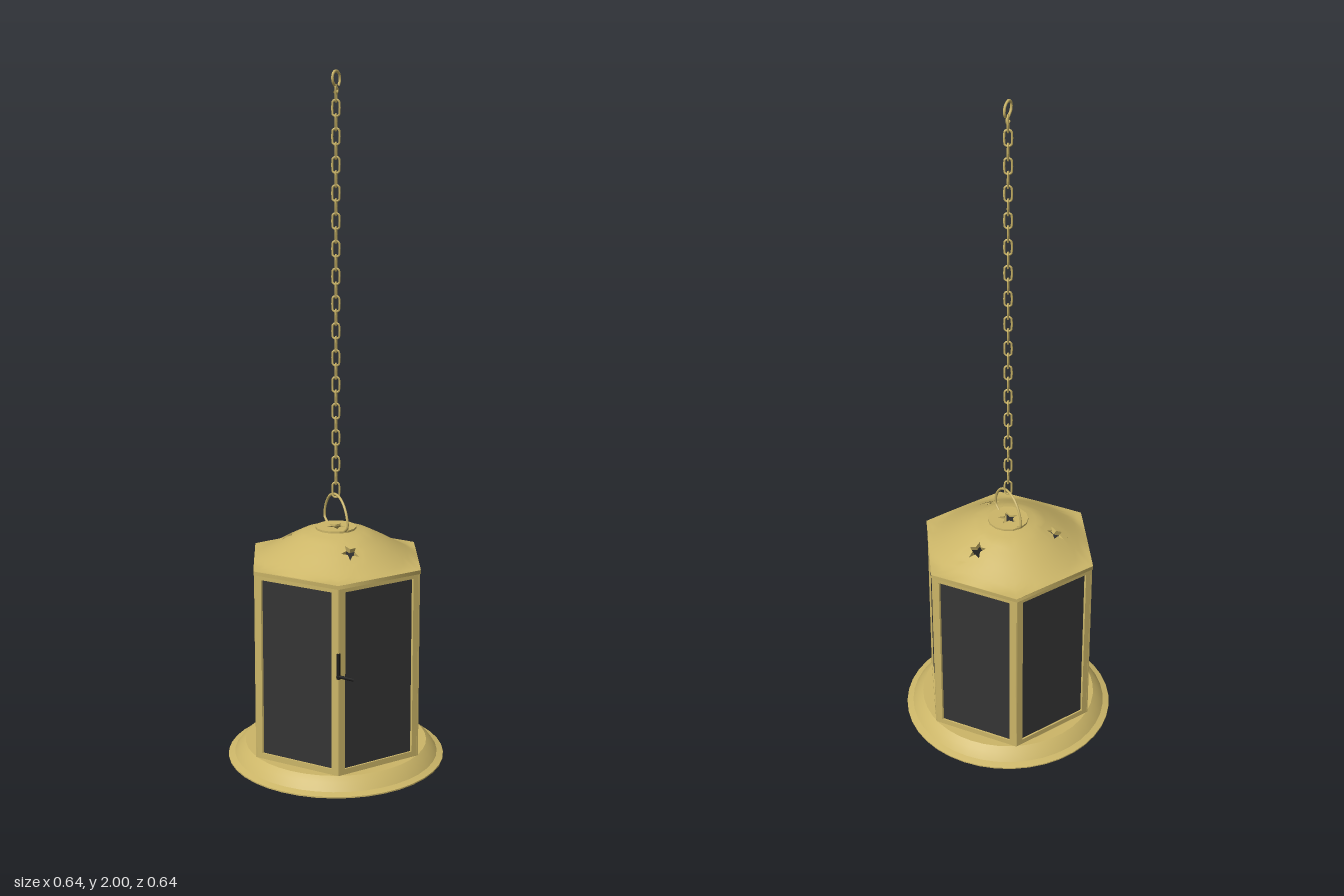
import * as THREE from 'three';
import { mergeVertices, toCreasedNormals } from 'three/addons/utils/BufferGeometryUtils.js';

const brass = new THREE.MeshStandardMaterial({ color: 0xccb668, side: THREE.DoubleSide });
brass.name = 'brass';
const glass = new THREE.MeshStandardMaterial({ color: 0x343434 });
glass.name = 'smoked glass';
const iron = new THREE.MeshStandardMaterial({ color: 0x1c1c1c });
iron.name = 'dark iron';

const RAD = Math.PI / 180;
const APOTHEM = 0.236;

function part(name, geometry, material, parent) {
  const mesh = new THREE.Mesh(geometry, material);
  mesh.name = name;
  parent.add(mesh);
  return mesh;
}

// Five-pointed star outline around (cx, cy)
function star(cx, cy, radius, turn) {
  return Array.from({ length: 10 }, (_, i) => {
    const r = i % 2 ? radius * 0.45 : radius;
    const a = turn + i * 36 * RAD;
    return new THREE.Vector2(cx + r * Math.cos(a), cy + r * Math.sin(a));
  });
}

function tube(points, radius, segments) {
  const curve = new THREE.CatmullRomCurve3(points.map((p) => new THREE.Vector3(...p)));
  return new THREE.TubeGeometry(curve, segments, radius, 6);
}

// Dome height at a distance from the axis
const DOME = [[0, 0.702], [0.05, 0.699], [0.1, 0.687], [0.15, 0.661], [0.2, 0.632], [0.236, 0.613], [0.3, 0.61]];
function domeHeight(r) {
  const i = Math.max(1, DOME.findIndex((p) => p[0] >= r));
  const [a, b] = [DOME[i - 1], DOME[i]];
  return a[1] + (b[1] - a[1]) * (r - a[0]) / (b[0] - a[0]);
}

// Domed roof on a hexagonal edge, with three star-shaped openings
function buildRoof(parent) {
  const SEG = 72, RINGS = 12, INNER = 0.05;
  const grid = (i, j) => {
    const a = i * 360 / SEG;
    const edge = (APOTHEM + 0.002) / Math.cos(((((a % 60) + 60) % 60) - 30) * RAD);
    const r = INNER + (edge - INNER) * j / RINGS;
    return new THREE.Vector2(r * Math.cos(a * RAD), r * Math.sin(a * RAD));
  };
  const lift = (p) => [p.x, domeHeight(p.length()), p.y];
  const skin = [];
  const face = (a, b, c) => {
    const up = (b.x - a.x) * (c.y - a.y) - (b.y - a.y) * (c.x - a.x) < 0;
    for (const p of up ? [a, b, c] : [a, c, b]) skin.push(...lift(p));
  };
  const centres = [9, 33, 57], HALF = 3, J0 = 3, J1 = 8;
  for (let i = 0; i < SEG; i++) {
    const open = centres.some((c) => i >= c - HALF && i < c + HALF);
    for (let j = 0; j < RINGS; j++) {
      if (open && j >= J0 && j < J1) continue;
      face(grid(i, j), grid(i + 1, j), grid(i + 1, j + 1));
      face(grid(i, j), grid(i + 1, j + 1), grid(i, j + 1));
    }
  }
  const rim = [];
  for (const c of centres) {
    // Patch around each opening
    const a = c * 360 / SEG * RAD;
    const outline = [];
    for (let i = c - HALF; i < c + HALF; i++) outline.push(grid(i, J0));
    for (let j = J0; j < J1; j++) outline.push(grid(c + HALF, j));
    for (let i = c + HALF; i > c - HALF; i--) outline.push(grid(i, J1));
    for (let j = J1; j > J0; j--) outline.push(grid(c - HALF, j));
    const hole = star(0.143 * Math.cos(a), 0.143 * Math.sin(a), 0.027, a + 0.3);
    const all = [...outline, ...hole];
    for (const t of THREE.ShapeUtils.triangulateShape(outline, [hole])) face(...t.map((k) => all[k]));
    // Short walls turned inward from the opening
    const sink = ([x, y, z]) => [x - 0.007 * Math.cos(a), y - 0.014, z - 0.007 * Math.sin(a)];
    hole.forEach((p, k) => {
      const p0 = lift(p), p1 = lift(hole[(k + 1) % 10]);
      const q0 = sink(p0), q1 = sink(p1);
      rim.push(...p0, ...p1, ...q1, ...p0, ...q1, ...q0);
    });
  }
  const toGeometry = (data) => {
    const g = new THREE.BufferGeometry();
    g.setAttribute('position', new THREE.Float32BufferAttribute(data, 3));
    return g;
  };
  const roof = mergeVertices(toGeometry(skin), 1e-5);
  roof.computeVertexNormals();
  part('roof', roof, brass, parent);
  const walls = toGeometry(rim);
  walls.computeVertexNormals();
  part('starOpeningRims', walls, brass, parent);
}

export function createModel() {
  const model = new THREE.Group();
  model.name = 'hangingLantern';

  // Flared dish base with a raised floor
  const profile = [[0, 0.028], [0.267, 0.028], [0.282, 0.018], [0.3, 0.004], [0.321, 0], [0.321, 0.004],
    [0.302, 0.01], [0.286, 0.032], [0.27, 0.045], [0, 0.045]].map((p) => new THREE.Vector2(...p));
  part('base', toCreasedNormals(new THREE.LatheGeometry(profile, 40), 0.5), brass, model);
  part('baseScrew', new THREE.CylinderGeometry(0.013, 0.013, 0.006, 12), brass, model).position.y = 0.026;

  // Six framed glass sides
  const SIDE = 2 * APOTHEM * Math.tan(30 * RAD);
  const rect = (S, w, y0, y1) => {
    const s = new S();
    s.moveTo(-w, y0).lineTo(w, y0).lineTo(w, y1).lineTo(-w, y1).closePath();
    return s;
  };
  const frameShape = rect(THREE.Shape, SIDE / 2, 0.045, 0.61);
  frameShape.holes.push(rect(THREE.Path, 0.114, 0.062, 0.588));
  const frameGeometry = new THREE.ExtrudeGeometry(frameShape, { depth: 0.012, bevelEnabled: false });
  // Mitre the inner edges so neighbouring frames meet
  const fp = frameGeometry.attributes.position;
  for (let i = 0; i < fp.count; i++) {
    if (fp.getZ(i) < 0.001) fp.setX(i, fp.getX(i) * (1 - 0.012 / APOTHEM));
  }
  frameGeometry.computeVertexNormals();
  const glassGeometry = new THREE.BoxGeometry(0.23, 0.53, 0.004);
  for (let i = 0; i < 6; i++) {
    const side = new THREE.Group();
    side.name = i === 1 ? 'door' : 'sidePanel';
    side.rotation.y = i * 60 * RAD;
    part('frame', frameGeometry, brass, side).position.z = APOTHEM - 0.012;
    part('pane', glassGeometry, glass, side).position.set(0, 0.325, APOTHEM - 0.007);
    model.add(side);
    // Slim corner bead
    const a = (i * 60) * RAD;
    part('cornerPost', new THREE.CylinderGeometry(0.006, 0.006, 0.555, 8), brass, model)
      .position.set(0.266 * Math.cos(a), 0.325, 0.266 * Math.sin(a));
  }
  part('eaveBand', new THREE.CylinderGeometry(0.2745, 0.2745, 0.011, 6, 1, true, Math.PI / 2), brass, model)
    .position.y = 0.605;

  // Door latch
  const latch = new THREE.Group();
  latch.name = 'doorLatch';
  part('latchPlate', new THREE.BoxGeometry(0.008, 0.075, 0.008), iron, latch).position.set(0.137, 0.375, 0.237);
  part('latchLever', tube([[0.132, 0.346, 0.238], [0.15, 0.345, 0.237], [0.184, 0.343, 0.234]], 0.0045, 8), iron, latch);
  model.add(latch);

  buildRoof(model);

  // Cap disc pierced by a small star
  const capShape = new THREE.Shape().absarc(0, 0, 0.06, 0, Math.PI * 2);
  capShape.holes.push(new THREE.Path(star(0, 0, 0.031, 0.3)));
  const cap = part('cap', new THREE.ExtrudeGeometry(capShape, { depth: 0.006, bevelEnabled: false, curveSegments: 7 }), brass, model);
  cap.rotation.x = -Math.PI / 2;
  cap.position.y = 0.697;

  // Wire handle
  const bail = tube([[-0.052, 0.7, 0], [-0.071, 0.715, 0], [-0.066, 0.75, 0], [-0.038, 0.786, 0], [0, 0.798, 0],
    [0.038, 0.786, 0], [0.066, 0.75, 0], [0.071, 0.715, 0], [0.052, 0.7, 0]], 0.004, 40);
  part('handle', bail, brass, model).rotation.y = -34 * RAD;

  // Chain of alternating links
  const chain = new THREE.Group();
  chain.name = 'chain';
  const linkGeometry = new THREE.TorusGeometry(0.0105, 0.003, 6, 14);
  const lp = linkGeometry.attributes.position;
  for (let i = 0; i < lp.count; i++) lp.setY(i, lp.getY(i) + Math.sign(Math.round(lp.getY(i) * 1e4)) * 0.012);
  linkGeometry.computeVertexNormals();
  const LINKS = 30;
  for (let i = 0; i < LINKS; i++) {
    const link = part('link', linkGeometry, brass, chain);
    link.position.y = 0.812 + i * (1.935 - 0.812) / (LINKS - 1);
    link.rotation.y = (i % 2 ? 90 : 0) * RAD + 0.35;
  }
  model.add(chain);

  // Top hook
  part('hook', tube([[0, 1.94, 0.008], [0, 1.936, -0.002], [0, 1.945, -0.009], [0, 1.955, 0.004], [0, 1.968, 0.018],
    [0, 1.986, 0.018], [0, 1.996, 0.002], [0, 1.988, -0.018], [0, 1.97, -0.023], [0, 1.958, -0.016]], 0.004, 40), brass, model);

  return model;
}
